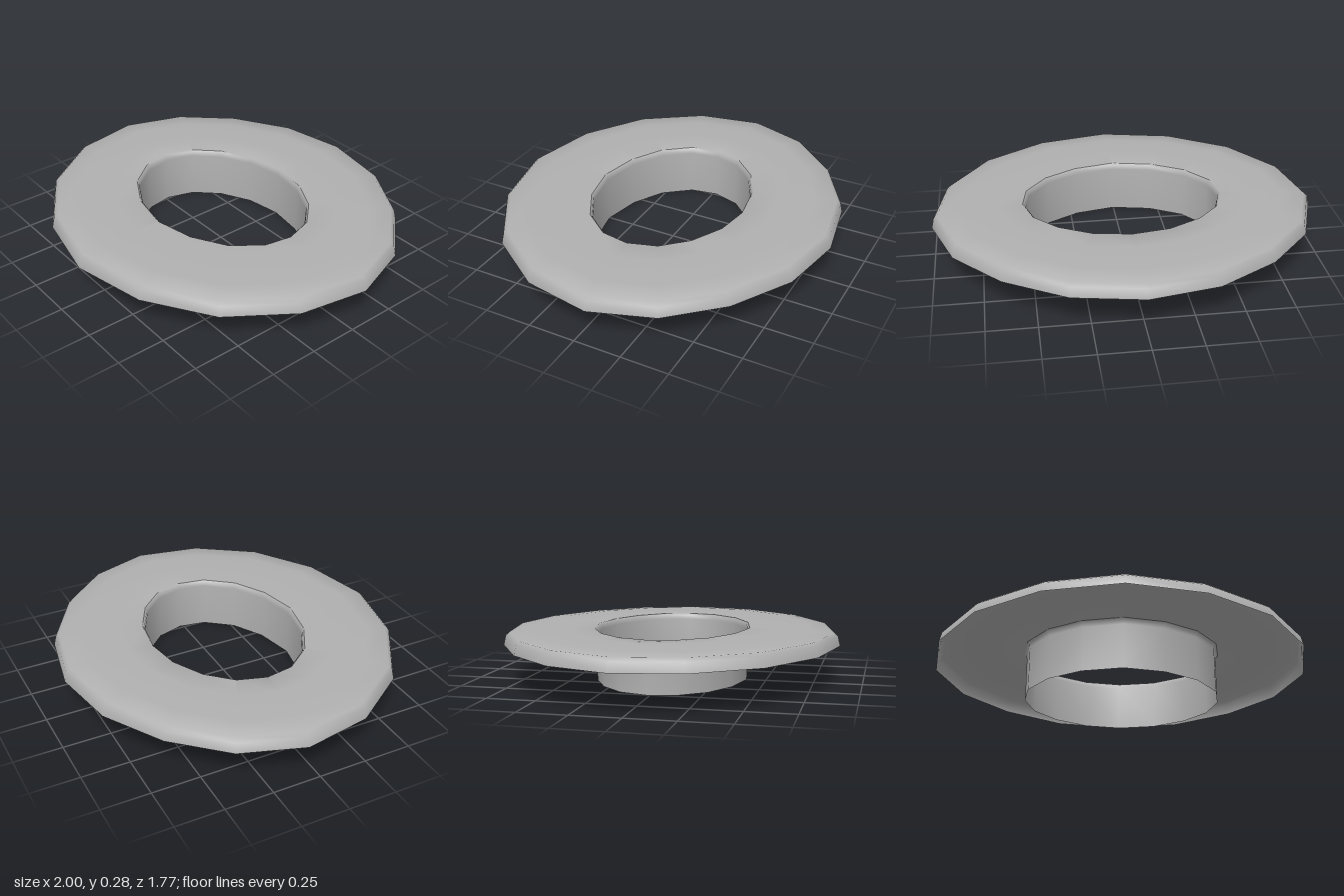
import * as THREE from 'three';
import { toCreasedNormals } from 'three/addons/utils/BufferGeometryUtils.js';

// Right half of each outline (x, z), from back to front
const OUTER = [[0, -0.885], [0.355, -0.82], [0.66, -0.64], [0.89, -0.39], [1, -0.07], [0.935, 0.28], [0.72, 0.59], [0.39, 0.8], [0, 0.882]];
const INNER = [[0, -0.4], [0.19, -0.37], [0.355, -0.285], [0.47, -0.165], [0.515, -0.02], [0.49, 0.125], [0.38, 0.265], [0.21, 0.36], [0, 0.402]];
const HOLE_SHIFT = 0.004; // the hole sits slightly off centre

// Mirror a half outline into a closed one
const mirror = half => [...half, ...half.slice(1, -1).reverse().map(([x, z]) => [-x, z])];

// Sweep a profile of [blend from hole to rim, height] around both outlines
function ringSurface(profile) {
  const inner = mirror(INNER).map(([x, z]) => [x + HOLE_SHIFT, z]);
  const outer = mirror(OUTER), n = inner.length;
  const positions = [], index = [];
  for (const [t, y] of profile) {
    for (let i = 0; i < n; i++) {
      const [ax, az] = inner[i], [bx, bz] = outer[i];
      positions.push(ax + (bx - ax) * t, y, az + (bz - az) * t);
    }
  }
  for (let j = 0; j < profile.length - 1; j++) {
    for (let i = 0; i < n; i++) {
      const k = (i + 1) % n;
      const a = j * n + i, b = j * n + k, c = a + n, d = b + n;
      index.push(a, b, c, b, d, c);
    }
  }
  const geometry = new THREE.BufferGeometry();
  geometry.setAttribute('position', new THREE.Float32BufferAttribute(positions, 3));
  geometry.setIndex(index);
  return toCreasedNormals(geometry, 0.8);
}

export function createModel() {
  const group = new THREE.Group();
  const grey = new THREE.MeshStandardMaterial({ color: 0xb0b0b0, side: THREE.DoubleSide });
  grey.name = 'grey';

  // One open sheet: collar wall, rounded hole lip, gently sloping top, bevelled rim
  const flangedCollar = new THREE.Mesh(ringSurface([
    [-0.008, 0], [-0.008, 0.245], [0, 0.266], [0.02, 0.276],
    [0.3, 0.278], [0.7, 0.273], [0.935, 0.265], [0.975, 0.248], [1, 0.197],
  ]), grey);
  flangedCollar.name = 'flangedCollar';
  group.add(flangedCollar);
  return group;
}
